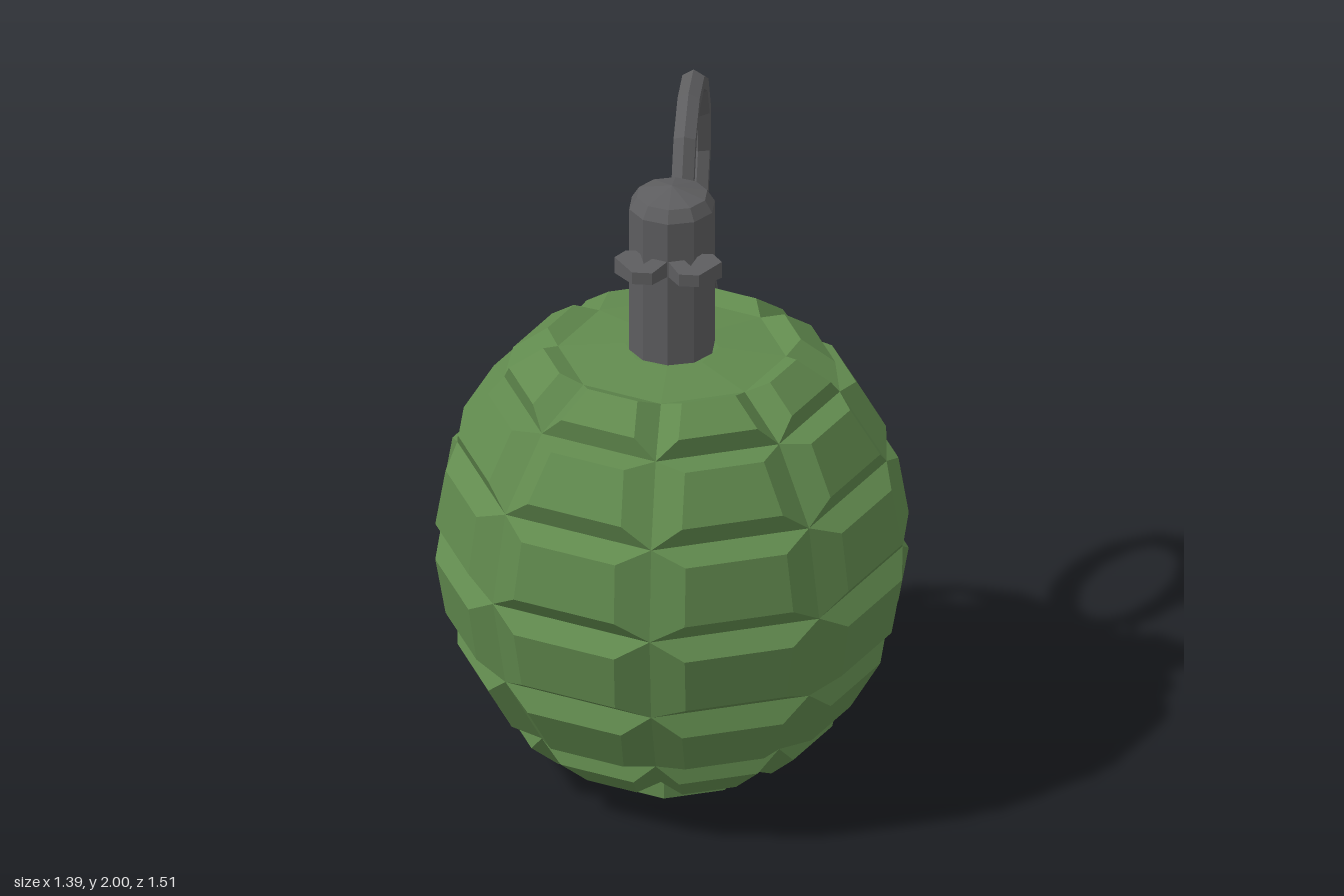
import * as THREE from 'three';

const CZ = 0.055; // z of the body axis

export function createModel() {
  const root = new THREE.Group();
  root.name = 'handGrenade';
  const mat = (name, color, flatShading) => {
    const m = new THREE.MeshStandardMaterial({ color, flatShading });
    m.name = name;
    return m;
  };
  const green = mat('olive green', 0x618a4e, true);
  const grey = mat('steel grey', 0x5d5d5f, true);
  const add = (name, geo, material, x = 0, y = 0, z = 0) => {
    const mesh = new THREE.Mesh(geo, material);
    mesh.name = name;
    mesh.position.set(x, y, z);
    root.add(mesh);
    return mesh;
  };

  // Body: eight-sided ball whose every cell carries a smaller raised panel
  const levels = [[0.34, 0.105], [0.5, 0.24], [0.64, 0.475], [0.688, 0.752],
    [0.64, 1.035], [0.5, 1.26], [0.34, 1.37]];
  const pos = [];
  const quad = (a, b, c, d) => [a, b, c, a, c, d].forEach(p => pos.push(p.x, p.y, p.z));
  const ringPoint = ([r, y], i) => {
    const t = i * Math.PI / 4;
    return new THREE.Vector3(r * Math.sin(t), y, r * Math.cos(t));
  };
  for (let k = 0; k < levels.length - 1; k++) {
    for (let i = 0; i < 8; i++) {
      const base = [ringPoint(levels[k], i), ringPoint(levels[k], i + 1),
        ringPoint(levels[k + 1], i + 1), ringPoint(levels[k + 1], i)];
      const centre = new THREE.Vector3();
      base.forEach(p => centre.addScaledVector(p, 0.25));
      const normal = base[2].clone().sub(base[0]).cross(base[3].clone().sub(base[1])).normalize();
      const panel = base.map(p => p.clone().lerp(centre, 0.36).addScaledVector(normal, 0.056));
      quad(...panel);
      for (let j = 0; j < 4; j++) {
        const n = (j + 1) % 4;
        quad(base[j], base[n], panel[n], panel[j]);
      }
    }
  }
  const bodyGeo = new THREE.BufferGeometry();
  bodyGeo.setAttribute('position', new THREE.Float32BufferAttribute(pos, 3));
  bodyGeo.computeVertexNormals();
  add('body', bodyGeo, green, 0, 0, CZ);
  add('topCap', new THREE.CylinderGeometry(0.14, 0.34, 0.02, 8), green, 0, 1.38, CZ);
  add('bottomCap', new THREE.CylinderGeometry(0.34, 0.3, 0.02, 8), green, 0, 0.095, CZ);
  add('foot', new THREE.CylinderGeometry(0.245, 0.245, 0.1, 8), green, 0, 0.05, CZ);

  // Fuse head with a low domed top
  const head = [[0.13, 1.36], [0.13, 1.86], [0.107, 1.897], [0, 1.925]];
  add('fuseHead', new THREE.LatheGeometry(head.map(p => new THREE.Vector2(...p)), 10),
    grey, 0, 0, CZ);

  // Pair of bent clips on the front of the fuse
  const clip = [[0.09, 0.13], [0.13, 0.13], [0.16, 0.17], [0.1, 0.25], [0.04, 0.25],
    [0, 0.18], [0.04, 0.16], [0.07, 0.2]];
  for (const side of [1, -1]) {
    const shape = new THREE.Shape(clip.map(([x, z]) => new THREE.Vector2(side * x, z)));
    const geo = new THREE.ExtrudeGeometry(shape, { depth: 0.06, bevelEnabled: false });
    geo.rotateX(Math.PI / 2);
    // Taper the clip towards its front
    const p = geo.attributes.position;
    for (let i = 0; i < p.count; i++) {
      const s = 1 - 0.35 * Math.max(0, (p.getZ(i) - 0.13) / 0.12);
      p.setY(i, (p.getY(i) + 0.03) * s);
    }
    geo.computeVertexNormals();
    add(side > 0 ? 'leftClip' : 'rightClip', geo, grey, 0, 1.71, 0);
  }

  // Safety lever: a bent strip, path given as (z, y)
  const path = [[-0.093, 1.82], [-0.093, 1.407], [-0.38, 1.42], [-0.6, 1.17], [-0.71, 0.97],
    [-0.7, 0.4], [-0.675, 0.36], [-0.61, 0.32]].map(p => new THREE.Vector2(...p));
  const offset = (d) => path.map((p, i) => {
    const a = path[Math.max(0, i - 1)], b = path[Math.min(path.length - 1, i + 1)];
    const t = p.clone().sub(a).normalize().add(b.clone().sub(p).normalize()).normalize();
    return new THREE.Vector2(p.x - t.y * d, p.y + t.x * d);
  });
  const strip = new THREE.Shape([...offset(0.008), ...offset(-0.008).reverse()]);
  const lever = new THREE.ExtrudeGeometry(strip, { depth: 0.17, bevelEnabled: false });
  lever.rotateY(-Math.PI / 2);
  add('safetyLever', lever, grey, 0.083, 0, 0);

  // Pin, its small eye and the large pull ring
  const pin = new THREE.CylinderGeometry(0.012, 0.012, 0.1, 6).rotateX(Math.PI / 2);
  add('pin', pin, grey, 0, 1.71, -0.09);
  const eye = new THREE.TorusGeometry(0.052, 0.011, 6, 12).rotateX(Math.PI / 2);
  add('pinEye', eye, grey, 0, 1.71, -0.185);
  const ring = new THREE.TorusGeometry(0.26, 0.038, 6, 12).rotateZ(Math.PI / 12).rotateY(Math.PI / 2);
  add('pullRing', ring, grey, 0.005, 1.71, -0.475);

  return root;
}
